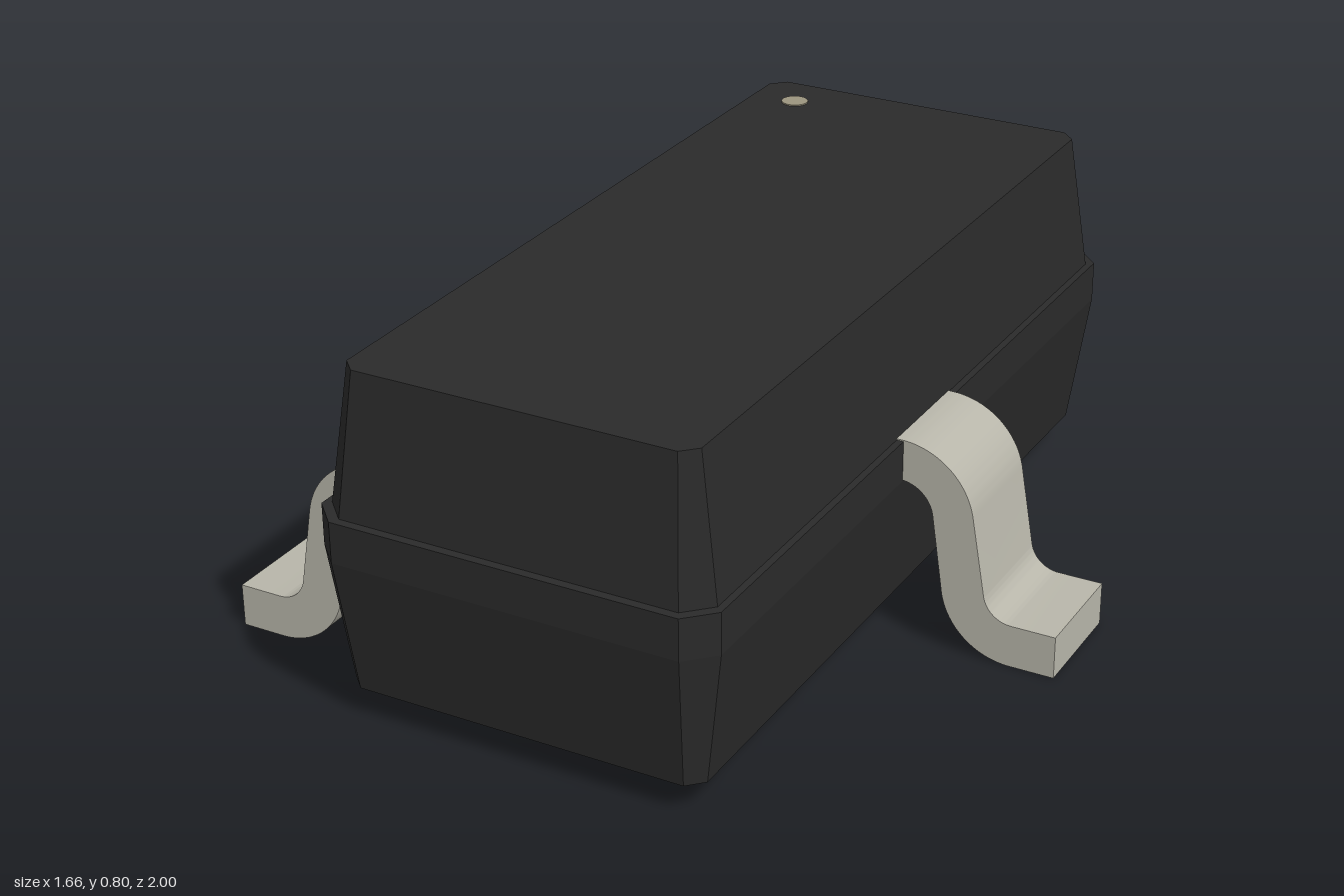
import * as THREE from 'three';
import { toCreasedNormals } from 'three/addons/utils/BufferGeometryUtils.js';

const plastic = new THREE.MeshStandardMaterial({ color: 0x2a2a2a, flatShading: true });
const metal = new THREE.MeshStandardMaterial({ color: 0xb8b6aa });
const paint = new THREE.MeshStandardMaterial({ color: 0x9c957f });

// Rectangle with chamfered corners at height y, counter-clockwise from above
function ring([y, w, d, c]) {
  return [
    [w, d - c], [w, c - d], [w - c, -d], [c - w, -d],
    [-w, c - d], [-w, d - c], [c - w, d], [w - c, d],
  ].map(([x, z]) => [x, y, z]);
}

// Closed solid skinned through a stack of rings
function loft(sections) {
  const rings = sections.map(ring);
  const n = rings[0].length;
  const pos = [];
  const tri = (a, b, c) => pos.push(...a, ...b, ...c);
  for (let s = 0; s < rings.length - 1; s++) {
    const lo = rings[s], hi = rings[s + 1];
    for (let i = 0; i < n; i++) {
      const j = (i + 1) % n;
      tri(lo[i], lo[j], hi[j]);
      tri(lo[i], hi[j], hi[i]);
    }
  }
  const bottom = rings[0], top = rings[rings.length - 1];
  for (let i = 1; i < n - 1; i++) {
    tri(top[0], top[i], top[i + 1]);
    tri(bottom[0], bottom[i + 1], bottom[i]);
  }
  const geo = new THREE.BufferGeometry();
  geo.setAttribute('position', new THREE.Float32BufferAttribute(pos, 3));
  geo.computeVertexNormals();
  return geo;
}

// Gull-wing lead: S-bent strip, extruded along z
function leadGeometry(width) {
  const tilt = THREE.MathUtils.degToRad(10);
  const up = { x: 0.457, y: 0.308, outer: 0.175, inner: 0.08 };
  const low = { x: 0.727, y: 0.167, outer: 0.167, inner: 0.067 };
  const s = new THREE.Shape();
  s.moveTo(0.4, up.y + up.outer);
  s.lineTo(up.x, up.y + up.outer);
  s.absarc(up.x, up.y, up.outer, Math.PI / 2, tilt, true);
  s.absarc(low.x, low.y, low.inner, Math.PI + tilt, Math.PI * 1.5, false);
  s.lineTo(0.83, low.y - low.inner);
  s.lineTo(0.83, 0);
  s.lineTo(low.x, 0);
  s.absarc(low.x, low.y, low.outer, Math.PI * 1.5, Math.PI + tilt, true);
  s.absarc(up.x, up.y, up.inner, tilt, Math.PI / 2, false);
  s.lineTo(0.4, up.y + up.inner);
  s.closePath();
  const geo = new THREE.ExtrudeGeometry(s, { depth: width, bevelEnabled: false, curveSegments: 16 });
  geo.translate(0, 0, -width / 2);
  return toCreasedNormals(geo, Math.PI / 6);
}

export function createModel() {
  const model = new THREE.Group();
  model.name = 'transistorPackage';

  // Moulded body: [height, half width, half depth, corner chamfer]
  const body = new THREE.Mesh(loft([
    [0.07, 0.42, 0.955, 0.035],
    [0.385, 0.463, 1.0, 0.06],
    [0.48, 0.463, 1.0, 0.06],
    [0.48, 0.447, 0.98, 0.055],
    [0.8, 0.403, 0.937, 0.033],
  ]), plastic);
  body.name = 'body';
  model.add(body);

  // One lead on the left side, two on the right
  const geo = leadGeometry(0.264);
  for (const [name, z, turn] of [
    ['leftLead', 0, 0],
    ['rightFrontLead', 0.634, Math.PI],
    ['rightBackLead', -0.634, Math.PI],
  ]) {
    const lead = new THREE.Mesh(geo, metal);
    lead.name = name;
    lead.position.z = z;
    lead.rotation.y = turn;
    model.add(lead);
  }

  // Round orientation mark on the top face
  const dot = new THREE.Mesh(new THREE.CylinderGeometry(0.032, 0.032, 0.006, 32), paint);
  dot.name = 'orientationDot';
  dot.position.set(-0.29, 0.8, -0.82);
  model.add(dot);

  return model;
}
